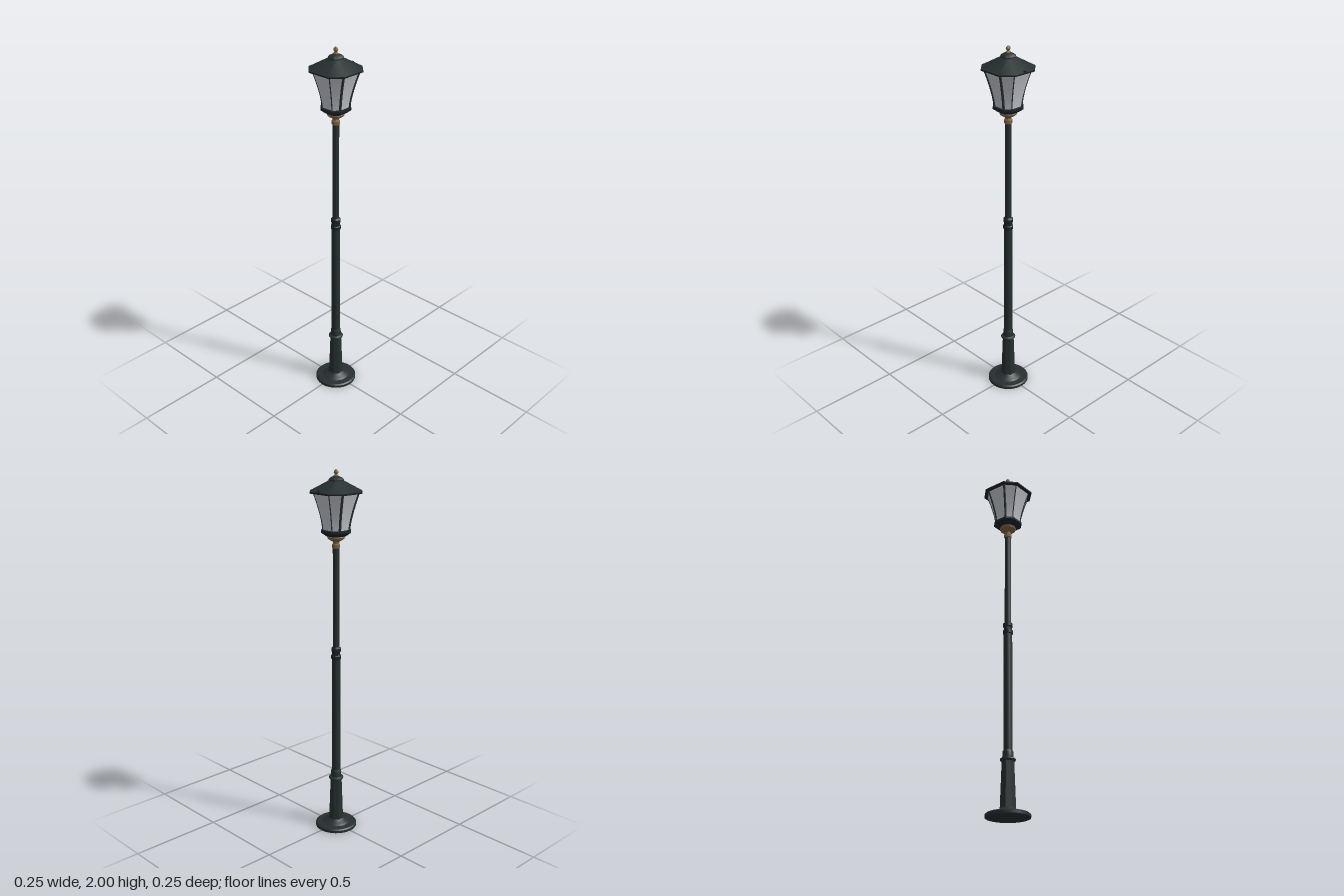
import * as THREE from 'three';
import { toCreasedNormals } from 'three/addons/utils/BufferGeometryUtils.js';

const RATIO = 0.53; // half flat side / apothem of the lantern's octagon

// Corners of an octagon with flats towards the axes, anticlockwise from +z
function corners(a) {
  const f = a * RATIO;
  return [[-f, a], [f, a], [a, f], [a, -f], [f, -a], [-f, -a], [-a, -f], [-a, f]];
}

// Stack octagons given as [apothem, y], from the bottom up, with flat faces
function octagonLoft(rings) {
  const pos = [], idx = [];
  rings.forEach(([a, y]) => corners(a).forEach(([x, z]) => pos.push(x, y, z)));
  for (let r = 0; r < rings.length - 1; r++) {
    for (let i = 0; i < 8; i++) {
      const a = r * 8 + i, b = r * 8 + (i + 1) % 8;
      idx.push(a, b, b + 8, a, b + 8, a + 8);
    }
  }
  const g = new THREE.BufferGeometry();
  g.setAttribute('position', new THREE.Float32BufferAttribute(pos, 3));
  g.setIndex(idx);
  return toCreasedNormals(g, 0.4);
}

// Turned part from [radius, y] points, from the bottom up
function turned(points, sides = 24) {
  const g = new THREE.LatheGeometry(points.map(([r, y]) => new THREE.Vector2(r, y)), sides);
  return toCreasedNormals(g, 0.6);
}

const GLASS_LOW = 1.69, GLASS_HIGH = 1.88;
const glassRadius = (y) => {
  const t = THREE.MathUtils.clamp((y - GLASS_LOW) / (GLASS_HIGH - GLASS_LOW), 0, 1);
  return 0.061 + 0.044 * Math.pow(t, 1.4);
};

export function createModel() {
  const iron = new THREE.MeshStandardMaterial({ color: 0x263030 });
  const darkIron = new THREE.MeshStandardMaterial({ color: 0x1d2329 });
  const brass = new THREE.MeshStandardMaterial({ color: 0x7d6444 });
  const glass = new THREE.MeshStandardMaterial({ color: 0xc2c4cc, side: THREE.DoubleSide });
  iron.name = 'iron';
  darkIron.name = 'darkIron';
  brass.name = 'brass';
  glass.name = 'frostedGlass';

  const model = new THREE.Group();
  model.name = 'streetLamp';
  const add = (name, geometry, material, parent = model) => {
    const mesh = new THREE.Mesh(geometry, material);
    mesh.name = name;
    parent.add(mesh);
    return mesh;
  };

  // Foot and pedestal
  add('basePlate', turned([[0, 0], [0.115, 0], [0.115, 0.014], [0.108, 0.02], [0.075, 0.022],
    [0.066, 0.03], [0.052, 0.034], [0.04, 0.046], [0, 0.046]], 32), iron);
  const pedestal = add('pedestal', turned([[0.043, 0.03], [0.041, 0.08], [0.033, 0.29]], 8), iron);
  pedestal.rotation.y = Math.PI / 8;
  add('pedestalRing', turned([[0.03, 0.284], [0.039, 0.289], [0.041, 0.294], [0.039, 0.299],
    [0.029, 0.304], [0.028, 0.335], [0.023, 0.345]]), iron);

  // Pole in two widths with a double collar
  add('lowerPole', turned([[0.0235, 0.3], [0.0235, 1.02]], 16), iron);
  add('upperPole', turned([[0.0175, 1.02], [0.0175, 1.61]], 16), iron);
  add('poleCollar', turned([[0.0235, 0.992], [0.027, 0.996], [0.027, 1.012], [0.022, 1.018],
    [0.022, 1.032], [0.026, 1.037], [0.026, 1.054], [0.017, 1.062]]), darkIron);

  // Brass neck and cup under the lantern
  add('brassNeck', turned([[0.0175, 1.594], [0.021, 1.598], [0.021, 1.617], [0.016, 1.621],
    [0.017, 1.63], [0.032, 1.638], [0.043, 1.646], [0.046, 1.655], [0.042, 1.663], [0, 1.667]]), brass);

  // Lantern
  const lantern = new THREE.Group();
  lantern.name = 'lantern';
  model.add(lantern);
  add('lanternFloor', octagonLoft([[0, 1.66], [0.046, 1.66], [0.068, 1.677], [0.071, 1.68],
    [0.071, 1.691], [0.061, 1.694], [0, 1.694]]), darkIron, lantern);
  const profile = [];
  for (let i = 0; i <= 8; i++) {
    const y = GLASS_LOW + (GLASS_HIGH - GLASS_LOW) * i / 8;
    profile.push([glassRadius(y), y]);
  }
  add('glassPanes', octagonLoft(profile), glass, lantern);

  // Ribs following the curve of the glass; broad ones frame the two side panes
  corners(1).forEach(([cx, cz]) => {
    const broad = Math.abs(cx) > Math.abs(cz);
    const w = broad ? 0.009 : 0.004;
    const g = new THREE.BoxGeometry(w, GLASS_HIGH - GLASS_LOW, w, 1, 8, 1);
    g.translate(0, (GLASS_HIGH + GLASS_LOW) / 2, 0);
    const p = g.attributes.position;
    for (let i = 0; i < p.count; i++) {
      const r = glassRadius(p.getY(i));
      p.setXYZ(i, p.getX(i) + cx * r, p.getY(i), p.getZ(i) + cz * r);
    }
    g.computeVertexNormals();
    add('rib', g, iron, lantern);
  });

  // Roof with a lip, a small cap and a brass finial
  add('roofLip', octagonLoft([[0, 1.879], [0.118, 1.879], [0.123, 1.882], [0.123, 1.889],
    [0.11, 1.895]]), darkIron, lantern);
  add('roof', octagonLoft([[0.123, 1.889], [0.11, 1.896], [0.034, 1.942]]), iron, lantern);
  add('roofCap', octagonLoft([[0.034, 1.938], [0.036, 1.941], [0.036, 1.947], [0.026, 1.957],
    [0.012, 1.964], [0, 1.965]]), iron, lantern);
  add('finial', turned([[0.014, 1.962], [0.013, 1.967], [0.007, 1.971], [0.008, 1.975],
    [0.0125, 1.982], [0.011, 1.99], [0.005, 1.996], [0, 2]], 6), brass, lantern);

  // Latch on the back of the eaves
  const latch = add('latch', new THREE.BoxGeometry(0.01, 0.016, 0.011), darkIron, lantern);
  latch.position.set(0, 1.89, -0.119);

  return model;
}
